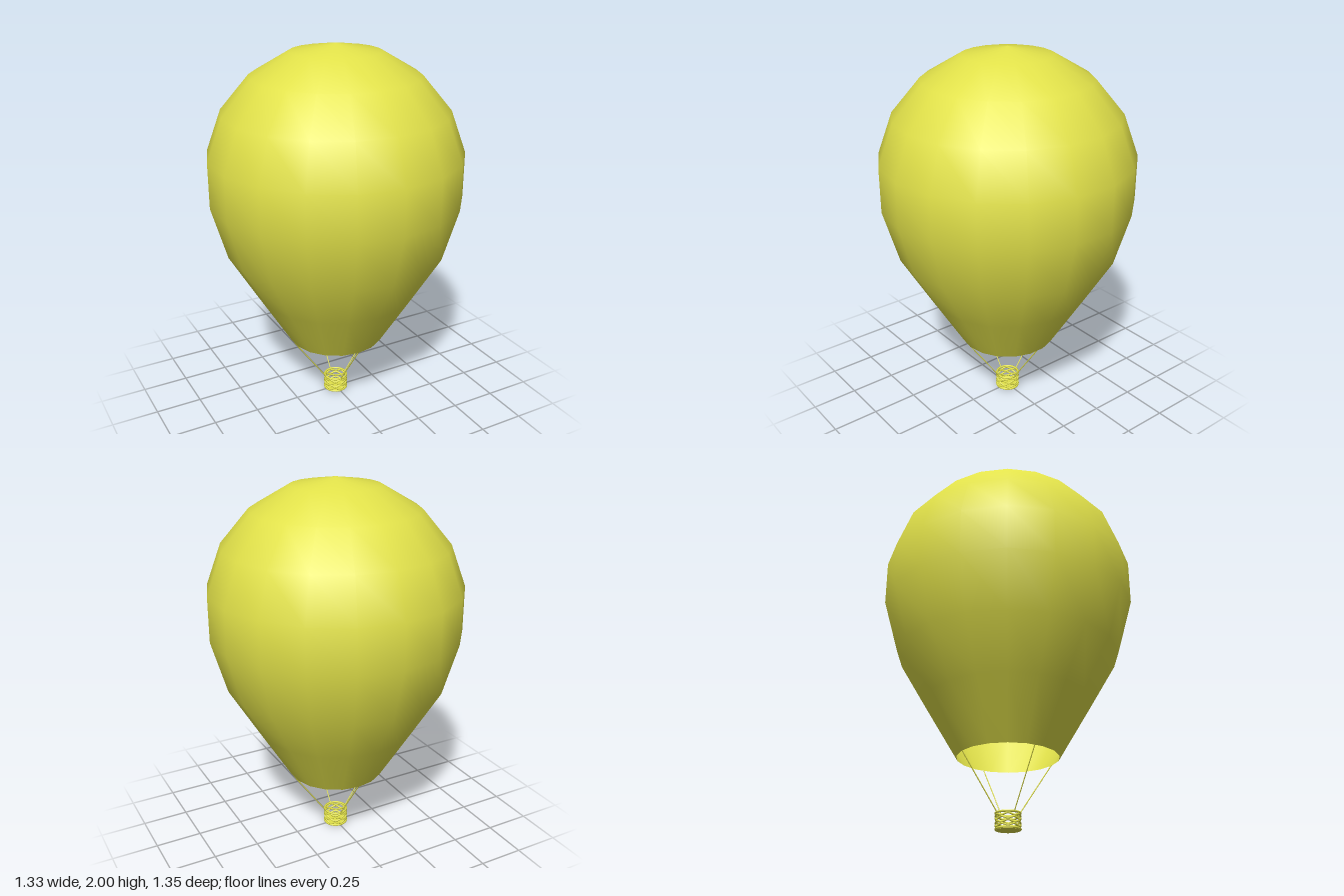
import * as THREE from 'three';

const yellow = new THREE.MeshStandardMaterial({ color: 0xe2e24a });
const yellowDouble = new THREE.MeshStandardMaterial({ color: 0xe2e24a, side: THREE.DoubleSide });

function add(group, name, geometry, material = yellow) {
  const mesh = new THREE.Mesh(geometry, material);
  mesh.name = name;
  group.add(mesh);
  return mesh;
}

// Closed hoop whose height waves up and down around the basket
function hoop(radius, y, wave, tube) {
  const points = [];
  const steps = 24;
  for (let i = 0; i < steps; i++) {
    const a = (i / steps) * Math.PI * 2;
    points.push(new THREE.Vector3(radius * Math.sin(a), y + wave * Math.cos(a * 6), radius * Math.cos(a)));
  }
  return new THREE.TubeGeometry(new THREE.CatmullRomCurve3(points, true), 48, tube, 6, true);
}

export function createModel() {
  const model = new THREE.Group();
  model.name = 'hotAirBalloon';

  // Envelope: 18-sided shell, open at the mouth
  const profile = [
    [0.264, 0.365], [0.44, 0.658], [0.592, 0.915], [0.673, 1.2], [0.673, 1.44],
    [0.592, 1.66], [0.44, 1.84], [0.234, 1.96], [0, 2],
  ].map(([r, y]) => new THREE.Vector2(r, y));
  add(model, 'envelope', new THREE.LatheGeometry(profile, 18), yellowDouble);

  // Four ropes from the mouth to the basket rim
  for (let i = 0; i < 4; i++) {
    const a = (i * Math.PI) / 2;
    const at = (r, y) => new THREE.Vector3(r * Math.sin(a), y, r * Math.cos(a));
    const path = new THREE.LineCurve3(at(0.062, 0.083), at(0.262, 0.368));
    add(model, 'rope', new THREE.TubeGeometry(path, 1, 0.003, 6));
  }

  // Basket: floor disc and open wicker hoops that touch where their waves meet
  const basket = new THREE.Group();
  basket.name = 'basket';
  model.add(basket);
  add(basket, 'floor', new THREE.CylinderGeometry(0.064, 0.064, 0.01, 18)).position.y = 0.005;
  add(basket, 'bottomHoop', hoop(0.062, 0.006, 0, 0.006));
  for (let i = 0; i < 4; i++) {
    add(basket, 'wickerHoop', hoop(0.062, 0.02 + i * 0.017, i % 2 ? 0.005 : -0.005, 0.005));
  }
  add(basket, 'rimHoop', hoop(0.062, 0.084, 0, 0.006));

  return model;
}
